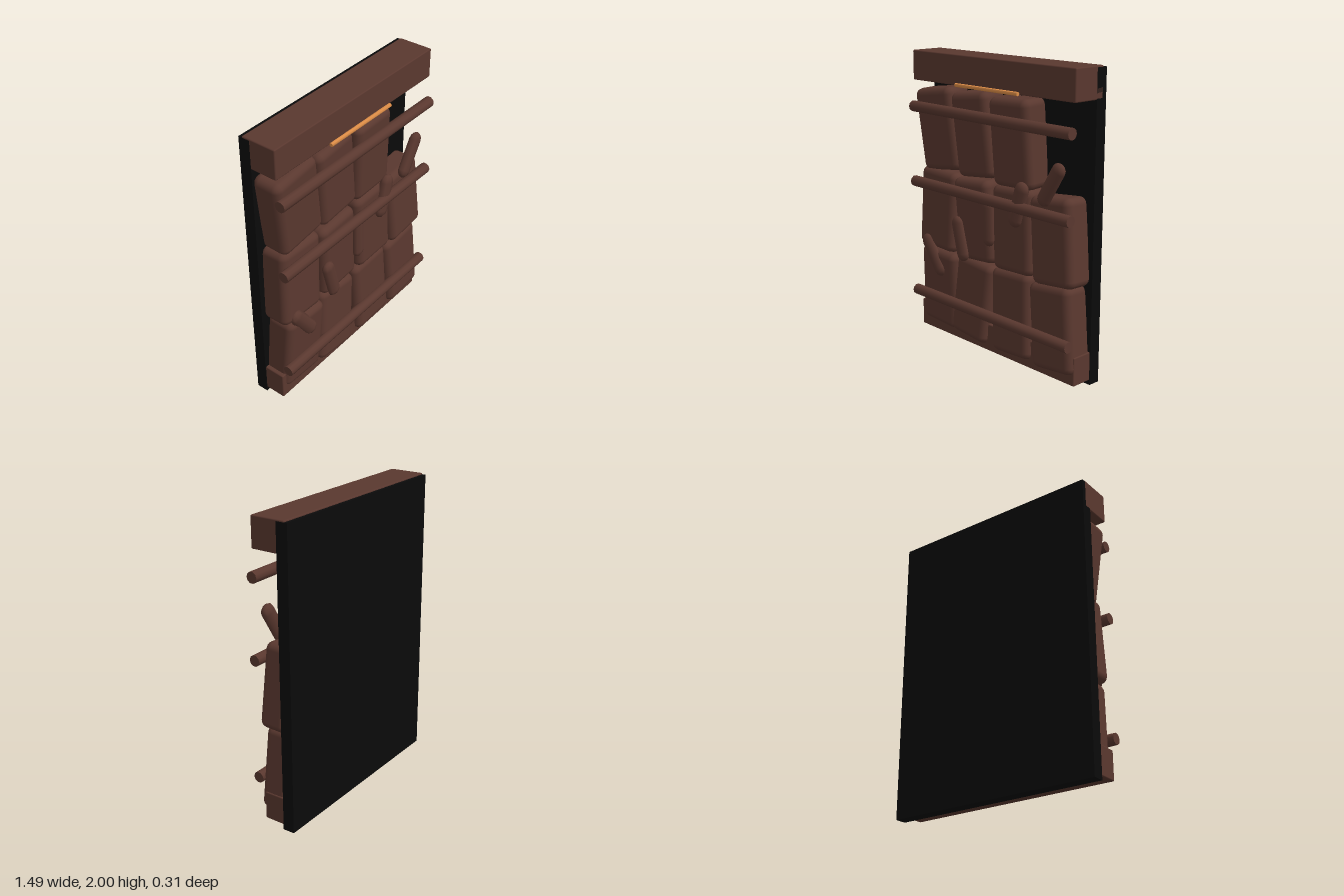
import * as THREE from 'three';
import { RoundedBoxGeometry } from 'three/addons/geometries/RoundedBoxGeometry.js';
import { toCreasedNormals } from 'three/addons/utils/BufferGeometryUtils.js';

const brown = new THREE.MeshStandardMaterial({ color: 0x5a382f });
brown.name = 'dark brown';
const black = new THREE.MeshStandardMaterial({ color: 0x0a0a0a });
black.name = 'black';
const orange = new THREE.MeshStandardMaterial({ color: 0xdc8c46 });
orange.name = 'orange';

export function createModel() {
  const model = new THREE.Group();
  model.name = 'blockWall';

  function add(name, geometry, material, x, y, z, rx = 0, rz = 0) {
    const mesh = new THREE.Mesh(geometry, material);
    mesh.name = name;
    mesh.position.set(x, y, z);
    mesh.rotation.set(rx, 0, rz);
    model.add(mesh);
    return mesh;
  }

  // Backing board with a heavy beam above and a sill below
  add('backPanel', new THREE.BoxGeometry(1.49, 1.99, 0.08), black, 0, 0.995, -0.115);
  add('topBeam', new RoundedBoxGeometry(1.49, 0.2, 0.24, 1, 0.008), brown, 0, 1.9, -0.012);
  add('bottomBeam', new RoundedBoxGeometry(1.48, 0.19, 0.17, 1, 0.008), brown, 0, 0.125, -0.015);

  // Thin bright strip under the beam
  const strip = new THREE.CylinderGeometry(0.013, 0.013, 0.575, 8).rotateZ(Math.PI / 2);
  add('glowStrip', toCreasedNormals(strip, 0.9), orange, 0.003, 1.808, 0.125);

  // Bevelled blocks in crooked rows: x, y, width, height, roll, forward lean
  const blocks = [
    [-0.53, 0.37, 0.35, 0.56, -0.05, 0.06],
    [-0.195, 0.36, 0.34, 0.56, -0.09, -0.05],
    [0.185, 0.36, 0.345, 0.57, 0.05, -0.04],
    [0.545, 0.36, 0.345, 0.56, 0.1, -0.03],
    [-0.535, 0.925, 0.355, 0.56, -0.04, -0.03],
    [-0.17, 0.92, 0.335, 0.56, 0.07, 0.03],
    [0.195, 0.925, 0.345, 0.56, 0.04, -0.02],
    [0.54, 0.92, 0.34, 0.56, 0.1, -0.04],
    [-0.53, 1.485, 0.365, 0.56, 0.13, 0.04],
    [-0.18, 1.49, 0.34, 0.56, 0.11, 0.03],
    [0.178, 1.485, 0.345, 0.57, 0.04, 0.05],
  ];
  for (const [x, y, w, h, roll, lean] of blocks) {
    add('block', new RoundedBoxGeometry(w, h, 0.2, 2, 0.048), brown, x, y, 0.002, lean, roll);
  }

  // Horizontal bars
  const bar = toCreasedNormals(new THREE.CylinderGeometry(0.037, 0.037, 1.475, 10).rotateZ(Math.PI / 2), 0.8);
  for (const y of [0.305, 1.1, 1.623]) add('bar', bar, brown, 0, y, 0.12);

  // Flattened pegs lying at angles: x, y, radius, length, roll
  const pegs = [
    [-0.555, 0.6, 0.052, 0.32, 0.62],
    [-0.275, 0.775, 0.05, 0.31, 0.25],
    [0.004, 0.94, 0.048, 0.31, 0.03],
    [0.28, 1.115, 0.055, 0.31, -0.28],
    [0.56, 1.29, 0.052, 0.32, -0.55],
  ];
  for (const [x, y, r, length, roll] of pegs) {
    const peg = new THREE.CapsuleGeometry(r, length - 2 * r, 3, 8);
    add('peg', peg, brown, x, y, 0.105, 0, roll).scale.z = 0.65;
  }
  return model;
}
